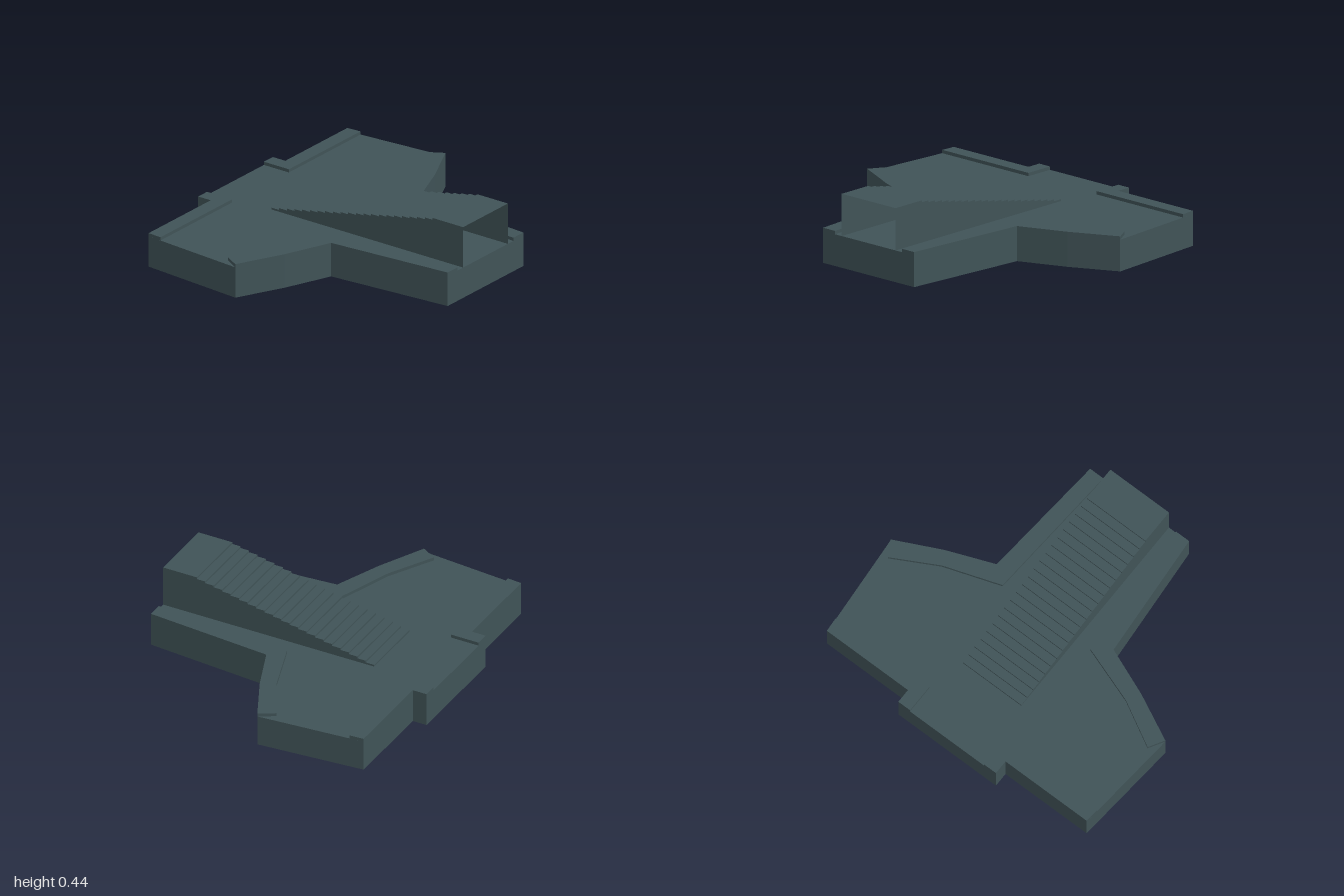
import * as THREE from 'three';

const DECK = 0.19, RIM = 0.21;

const slate = new THREE.MeshStandardMaterial({ color: 0x405357, side: THREE.DoubleSide });
slate.name = 'dark slate';

// Sweeps a flat path straight along z from z0 to z1, one flat panel per segment
function ribbon(path, z0, z1) {
  const pos = [];
  for (let i = 0; i < path.length - 1; i++) {
    const [ax, ay] = path[i], [bx, by] = path[i + 1];
    pos.push(ax, ay, z0, bx, by, z0, bx, by, z1, ax, ay, z0, bx, by, z1, ax, ay, z1);
  }
  const geo = new THREE.BufferGeometry();
  geo.setAttribute('position', new THREE.Float32BufferAttribute(pos, 3));
  geo.computeVertexNormals();
  return geo;
}

const toShape = (pts) => new THREE.Shape(pts.map(([x, y]) => new THREE.Vector2(x, y)));
// Plan points are [x, z]; the drawing plane is laid flat with rotateX
const plan = (pts, side = 1) => pts.map(([x, z]) => [x * side, -z]);

export function createModel() {
  const model = new THREE.Group();
  model.name = 'stairPlatform';
  const add = (name, geo) => {
    const mesh = new THREE.Mesh(geo, slate);
    mesh.name = name;
    model.add(mesh);
  };

  // Platform outline, left half from back to front, mirrored to the right
  const half = [[0.355, -0.9], [0.355, -0.81], [0.945, -0.81], [1, -0.145],
    [0.715, -0.005], [0.425, 0.11], [0.36, 0.9]];
  const outline = [...plan(half, -1), ...plan(half).reverse()];

  // Deck sheet and hollow skirt, open underneath
  add('deck', new THREE.ShapeGeometry(toShape(outline)).rotateX(-Math.PI / 2).translate(0, DECK, 0));
  add('skirt', ribbon([...outline, outline[0]], 0, DECK).rotateX(-Math.PI / 2));

  // Raised kerbs along the back and the front edges
  const backKerb = [[0.27, -0.9], [0.355, -0.9], [0.355, -0.81], [0.945, -0.81],
    [0.952, -0.72], [0.27, -0.72]];
  const frontKerb = [[1, -0.145], [0.715, -0.005], [0.425, 0.11], [0.36, 0.9],
    [0.265, 0.9], [0.32, 0.03], [0.67, -0.09], [0.945, -0.24]];
  for (const [side, label] of [[1, 'left'], [-1, 'right']]) {
    for (const [name, pts] of [['BackKerb', backKerb], ['FrontKerb', frontKerb]]) {
      const geo = new THREE.ExtrudeGeometry(toShape(plan(pts, side)),
        { depth: RIM - DECK, bevelEnabled: false });
      add(label + name, geo.rotateX(-Math.PI / 2).translate(0, DECK, 0));
    }
  }

  // Stair profile as [z, y]: landing at the front, then steps down to the deck
  const steps = 21, top = 0.443, zTop = 0.68, zEnd = -0.48, halfWidth = 0.213;
  const run = (zTop - zEnd) / steps, rise = (top - DECK) / (steps + 1);
  const profile = [[0.9, top], [zTop, top]];
  for (let i = 1; i <= steps; i++) {
    const y = top - i * rise;
    profile.push([zTop - (i - 1) * run, y], [zTop - i * run, y]);
  }
  profile.push([zEnd, DECK]);

  // Treads and risers, and the two side walls; the front end stays open
  add('stairSteps', ribbon(profile, -halfWidth, halfWidth).rotateY(-Math.PI / 2));
  const wall = toShape([...profile, [0.9, DECK]]);
  add('stairRightWall', new THREE.ShapeGeometry(wall).rotateY(-Math.PI / 2).translate(-halfWidth, 0, 0));
  const leftWall = new THREE.ShapeGeometry(toShape([...profile, [0.9, DECK]].map(([z, y]) => [-z, y])));
  add('stairLeftWall', leftWall.rotateY(Math.PI / 2).translate(halfWidth, 0, 0));

  return model;
}
